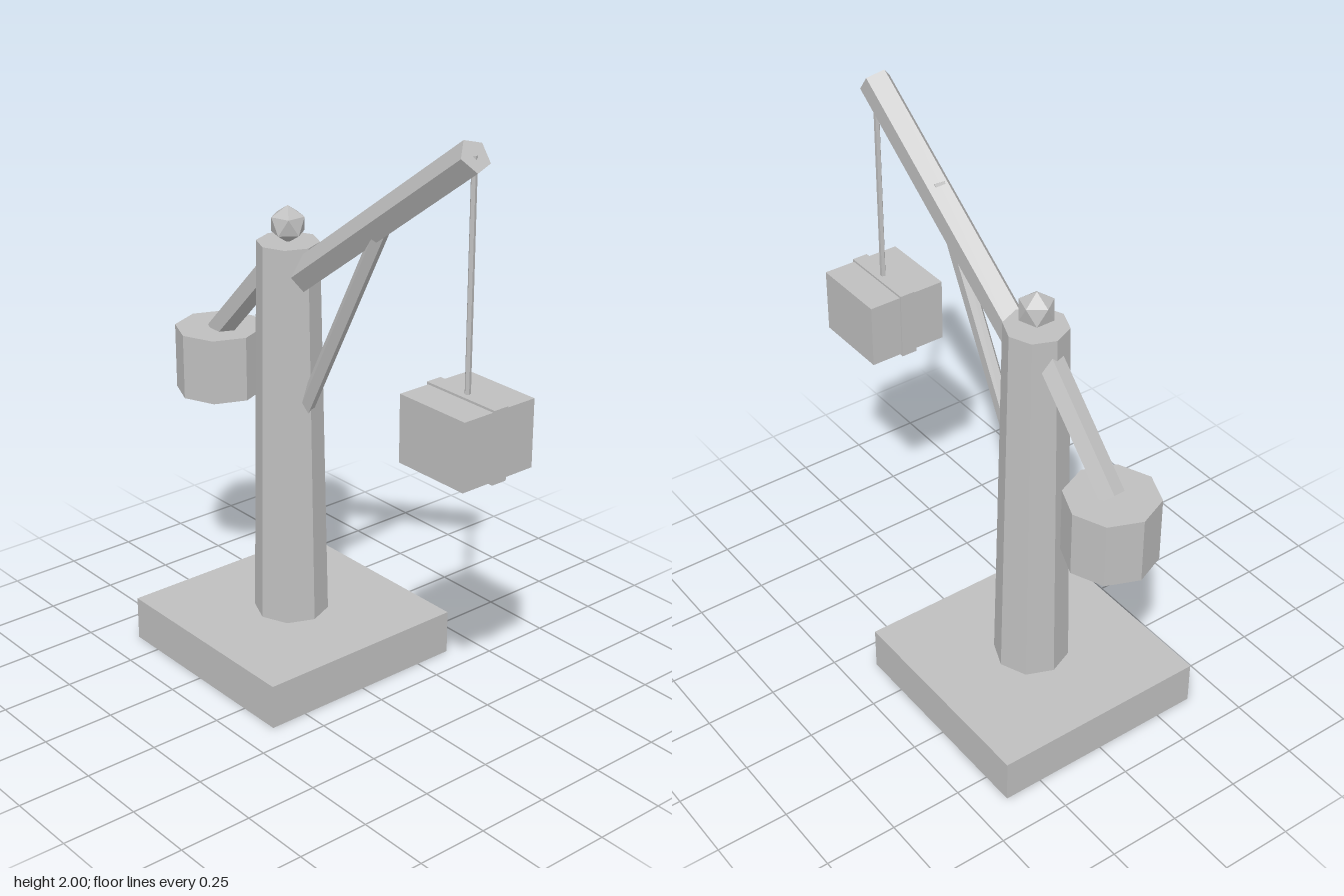
import * as THREE from 'three';

export function createModel() {
  const crane = new THREE.Group();
  crane.name = 'crane';
  const grey = new THREE.MeshStandardMaterial({ color: 0xbfbfbf });
  grey.name = 'plain grey';

  // Adds a faceted part with one normal per face
  function add(name, geometry, x = 0, y = 0, z = 0) {
    const flat = geometry.index ? geometry.toNonIndexed() : geometry;
    flat.computeVertexNormals();
    const mesh = new THREE.Mesh(flat, grey);
    mesh.name = name;
    mesh.position.set(x, y, z);
    crane.add(mesh);
    return mesh;
  }

  // Straight prism in the z = 0 plane from a to b; turn spins it about its own axis
  function beam(name, [ax, ay], [bx, by], radius, turn = 0, sides = 5) {
    const length = Math.hypot(bx - ax, by - ay);
    const geometry = new THREE.CylinderGeometry(radius, radius, length, sides);
    geometry.rotateY(turn);
    geometry.rotateZ(Math.atan2(by - ay, bx - ax) - Math.PI / 2);
    return add(name, geometry, (ax + bx) / 2, (ay + by) / 2, 0);
  }

  const postX = -0.23;

  // Base slab and tapered eight-sided post
  add('base', new THREE.BoxGeometry(0.77, 0.155, 0.77), postX, 0.0775, 0);
  add('post', new THREE.CylinderGeometry(0.104, 0.128, 1.345, 8), postX, 0.8175, 0);

  // Finial: icosahedron standing on a corner
  const finial = new THREE.IcosahedronGeometry(0.063, 0);
  finial.rotateX(-Math.atan((1 + Math.sqrt(5)) / 2));
  finial.rotateY(-Math.PI / 2);
  add('finial', finial, postX, 1.547, 0);

  // Boom, its brace, and the arm holding the counterweight
  beam('boom', [postX, 1.338], [0.622, 1.957], 0.055);
  beam('brace', [-0.19, 0.845], [0.28, 1.745], 0.028);
  beam('counterweightArm', [-0.27, 1.43], [-0.613, 1.077], 0.044, Math.PI);
  add('counterweight', new THREE.CylinderGeometry(0.153, 0.153, 0.23, 8), -0.617, 0.97, 0);

  // Rope and hanging crate with a strap around it
  beam('rope', [0.62, 1.2], [0.62, 1.958], 0.01);
  add('crate', new THREE.BoxGeometry(0.28, 0.225, 0.283), 0.618, 1.11, 0);
  add('crateStrap', new THREE.BoxGeometry(0.292, 0.24, 0.056), 0.618, 1.11, 0);

  return crane;
}
